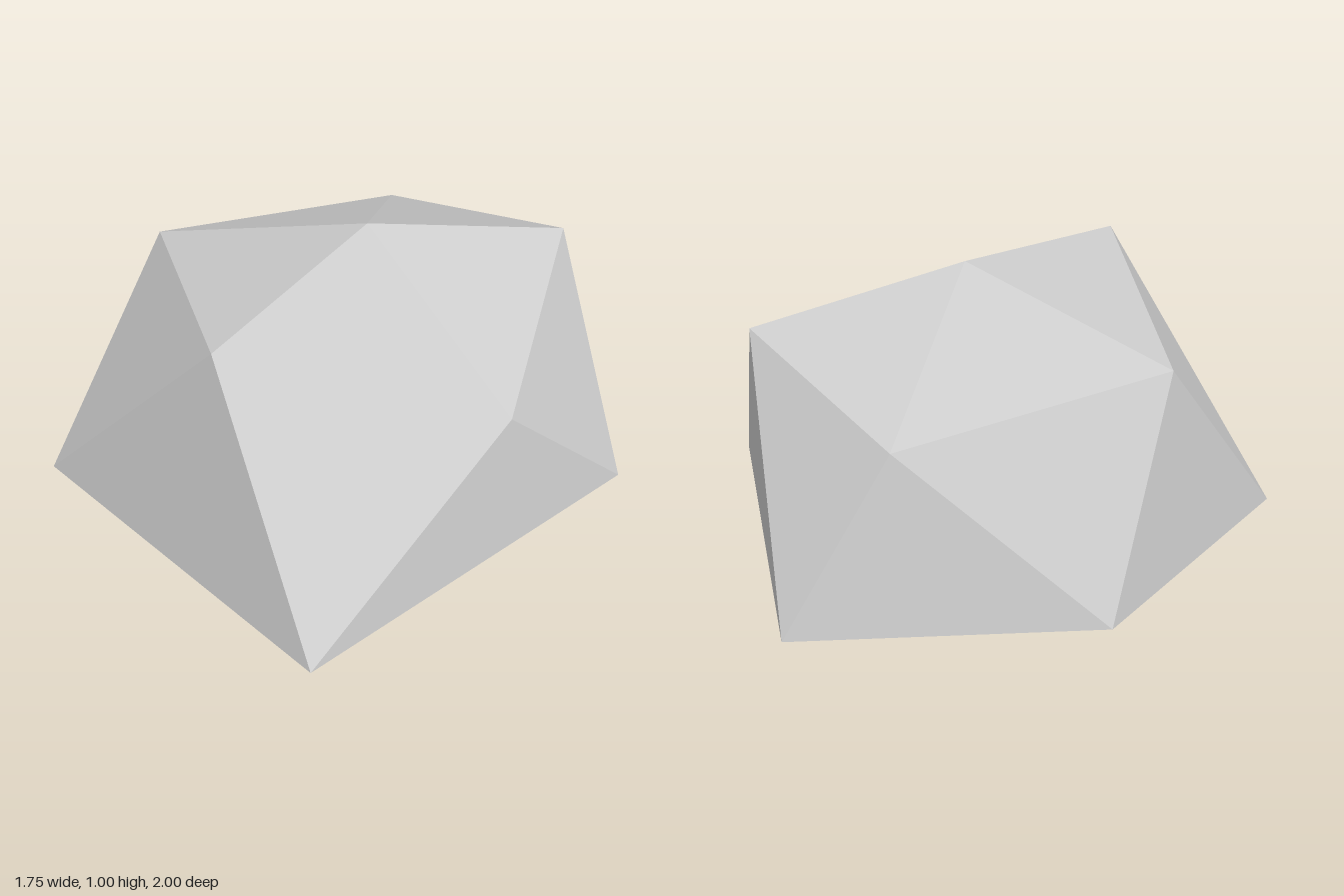
import * as THREE from 'three';

export function createModel() {
  const group = new THREE.Group();
  group.name = 'boulder';

  // Corners on the ground, the staggered shoulder corners above them, and the peak
  const base = [[-0.88, 0, 0], [-0.58, 0, 1], [0.85, 0, 0.9], [0.875, 0, -0.6], [-0.33, 0, -1]];
  const shoulder = [[-0.63, 0.79, 0.4], [0.285, 0.905, 0.815], [0.78, 0.49, -0.06], [0.385, 0.82, -0.73], [-0.42, 0.68, -0.6]];
  const peak = [0.12, 1.005, 0.02];

  const positions = [];
  const face = (...corners) => corners.forEach((c) => positions.push(...c));
  const n = base.length;
  for (let i = 0; i < n; i++) {
    const j = (i + 1) % n;
    face(base[i], base[j], shoulder[i]); // upright side facet
    face(shoulder[i], base[j], shoulder[j]); // inverted side facet
    face(peak, shoulder[i], shoulder[j]); // top facet
    if (i > 0 && i < n - 1) face(base[0], base[j], base[i]); // flat underside
  }

  const geometry = new THREE.BufferGeometry();
  geometry.setAttribute('position', new THREE.Float32BufferAttribute(positions, 3));
  geometry.computeVertexNormals();

  const rock = new THREE.Mesh(geometry, new THREE.MeshStandardMaterial({ color: 0xcccccc, flatShading: true }));
  rock.name = 'rock';
  group.add(rock);
  return group;
}
